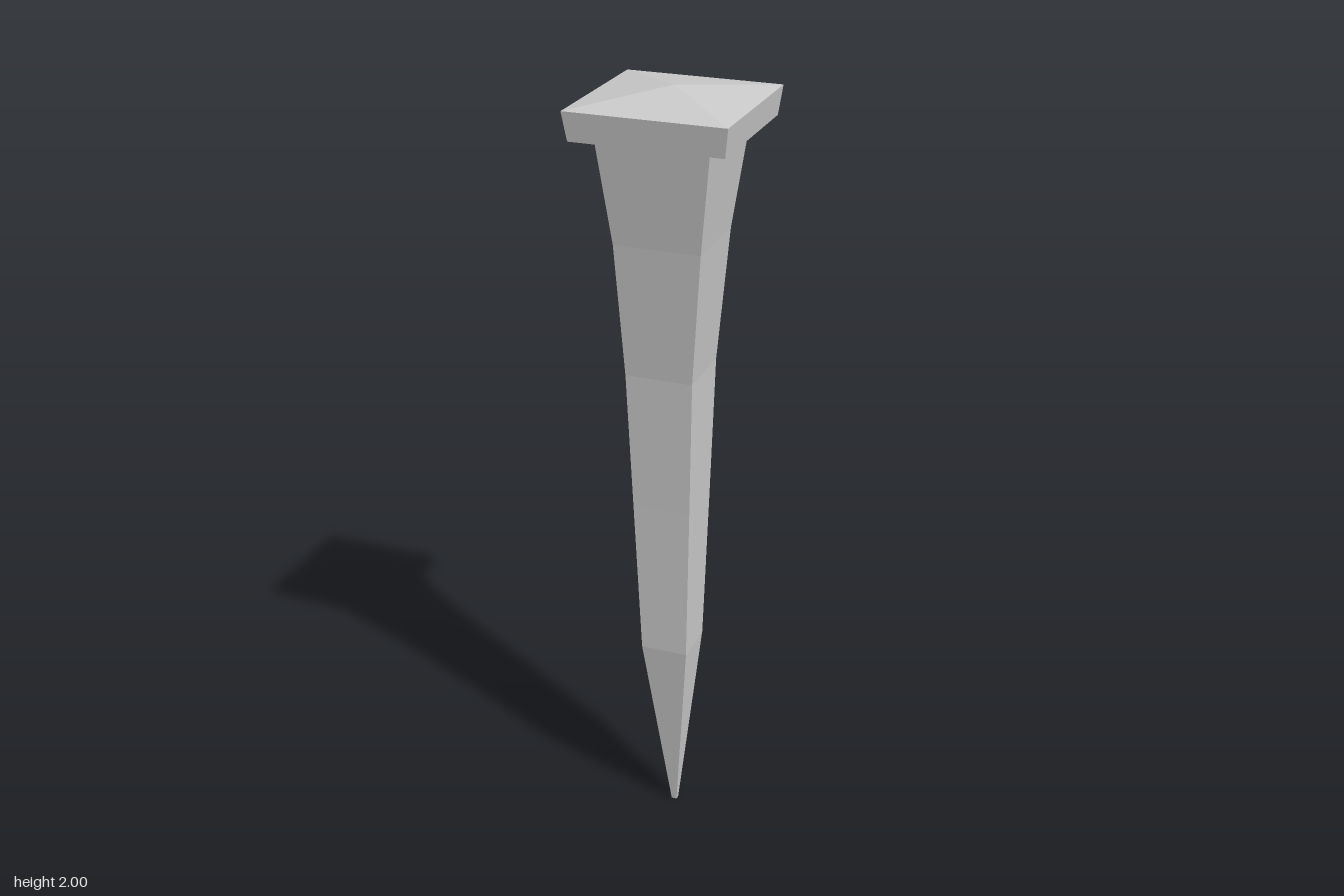
import * as THREE from 'three';

const material = new THREE.MeshStandardMaterial({ color: 0xcccccc, flatShading: true });

// Closed loft through rectangular sections, bottom to top: [y, xMin, xMax, zMin, zMax]
function loftRectangles(sections) {
  const rings = sections.map(([y, x0, x1, z0, z1]) => [[x0, y, z1], [x1, y, z1], [x1, y, z0], [x0, y, z0]]);
  const positions = [];
  const quad = (a, b, c, d) => positions.push(...a, ...b, ...c, ...a, ...c, ...d);
  for (let s = 0; s < rings.length - 1; s++) {
    const low = rings[s], high = rings[s + 1];
    for (let i = 0; i < 4; i++) {
      const j = (i + 1) % 4;
      quad(low[i], low[j], high[j], high[i]);
    }
  }
  const bottom = rings[0], top = rings[rings.length - 1];
  quad(bottom[3], bottom[2], bottom[1], bottom[0]);
  quad(top[0], top[1], top[2], top[3]);
  const geometry = new THREE.BufferGeometry();
  geometry.setAttribute('position', new THREE.Float32BufferAttribute(positions, 3));
  geometry.computeVertexNormals();
  return geometry;
}

function addPart(group, name, geometry) {
  const mesh = new THREE.Mesh(geometry, material);
  mesh.name = name;
  group.add(mesh);
  return mesh;
}

export function createModel() {
  const spike = new THREE.Group();
  spike.name = 'spike';

  // Hand-forged shank: slightly uneven taper down to a blunt tip
  addPart(spike, 'shank', loftRectangles([
    [0, -0.007, 0.007, -0.007, 0.007],
    [0.52, -0.069, 0.054, -0.063, 0.062],
    [0.94, -0.087, 0.063, -0.085, 0.066],
    [1.3, -0.1, 0.072, -0.097, 0.075],
    [1.64, -0.115, 0.102, -0.106, 0.104],
    [1.9, -0.143, 0.135, -0.141, 0.138],
  ]));

  // Square head, flaring a little upward
  addPart(spike, 'head', loftRectangles([
    [1.9, -0.186, 0.186, -0.186, 0.186],
    [1.97, -0.196, 0.195, -0.196, 0.195],
  ]));

  // Low pyramid on top of the head
  const cap = new THREE.ConeGeometry(0.195 * Math.SQRT2, 0.03, 4, 1, true).rotateY(Math.PI / 4);
  addPart(spike, 'headCap', cap).position.y = 1.985;

  return spike;
}
